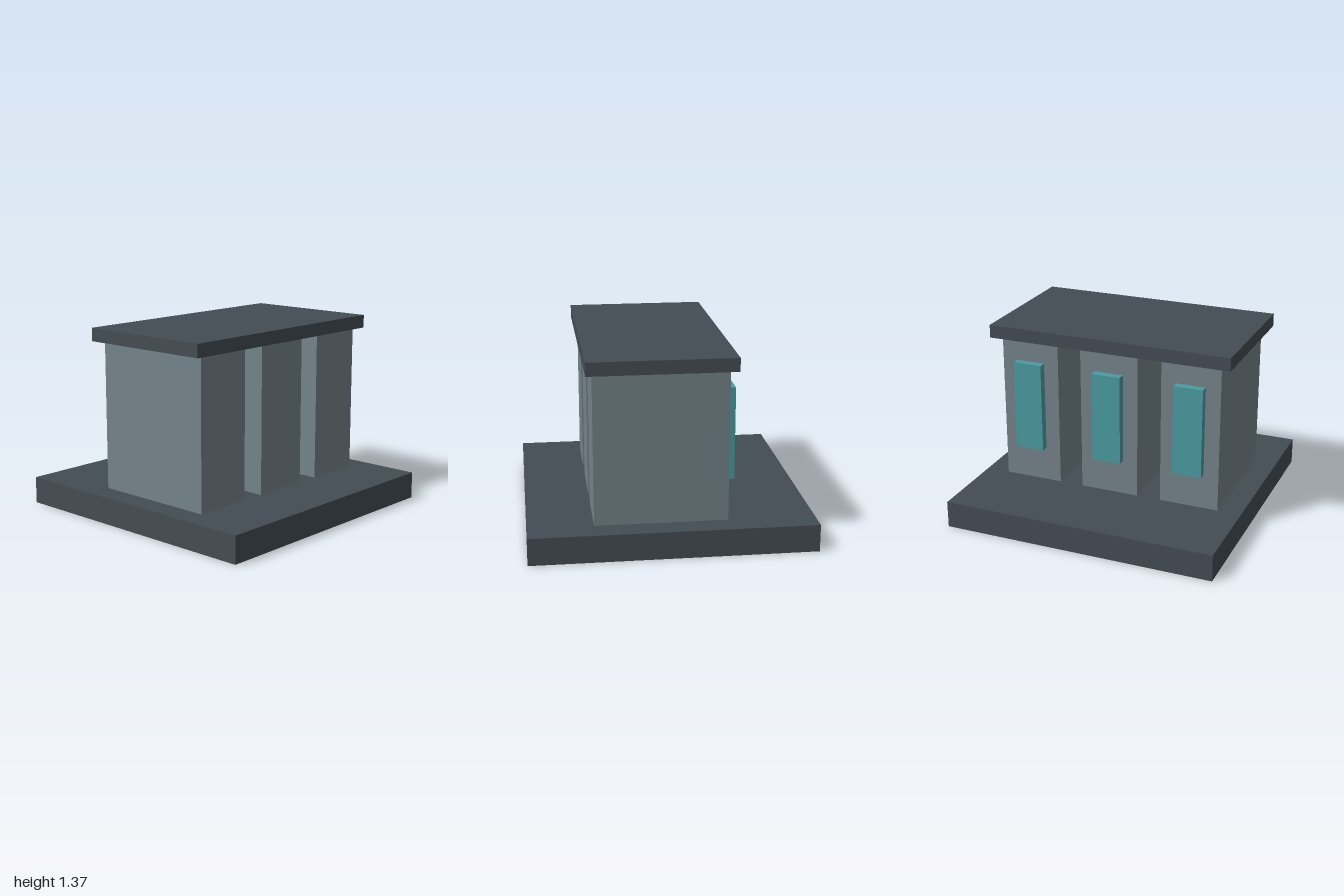
import * as THREE from 'three';

const material = (color) => new THREE.MeshStandardMaterial({ color });

// Box given by its lowest and highest corner
function block(name, mat, [x0, y0, z0], [x1, y1, z1]) {
  const mesh = new THREE.Mesh(new THREE.BoxGeometry(x1 - x0, y1 - y0, z1 - z0), mat);
  mesh.name = name;
  mesh.position.set((x0 + x1) / 2, (y0 + y1) / 2, (z0 + z1) / 2);
  return mesh;
}

export function createModel() {
  const model = new THREE.Group();
  model.name = 'pillarBlock';
  const dark = material(0x444c54);
  const stone = material(0x74838a);
  const teal = material(0x4a9ba0);

  // Square base slab and overhanging roof slab
  model.add(block('base', dark, [-1, 0, -1], [1, 0.195, 1]));
  model.add(block('roof', dark, [-0.903, 1.27, -0.437], [0.903, 1.365, 0.585]));

  // Three deep pillars, each with a raised panel on its back
  ['right', 'middle', 'left'].forEach((side, i) => {
    const x = (i - 1) * 0.61;
    const bay = new THREE.Group();
    bay.name = `${side}Bay`;
    bay.position.x = x;
    bay.add(block('pillar', stone, [-0.217, 0.195, -0.388], [0.217, 1.27, 0.54]));
    bay.add(block('backPanel', teal, [-0.107, 0.452, -0.446], [0.107, 1.11, -0.388]));
    model.add(bay);
  });

  return model;
}
